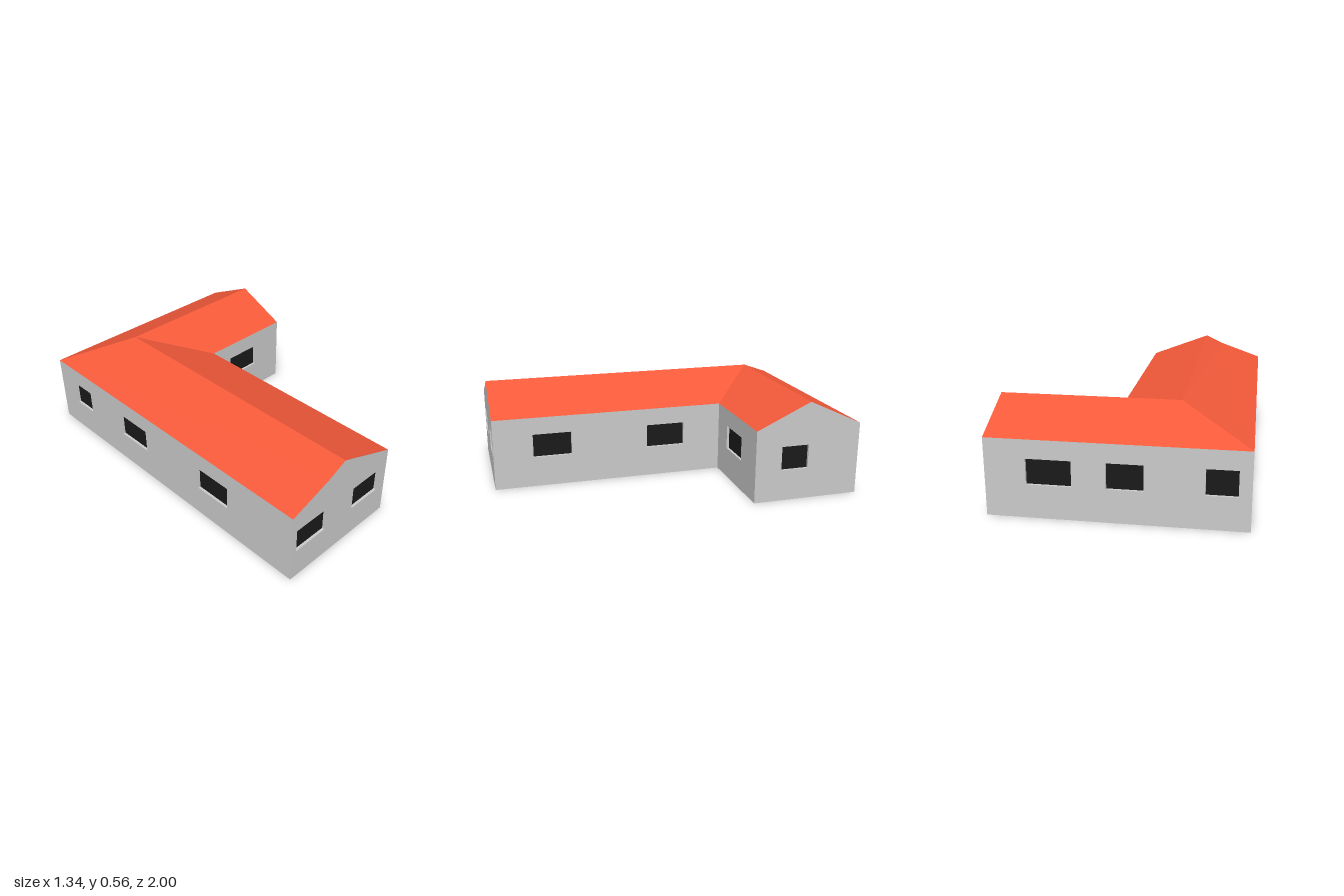
import * as THREE from 'three';
import { mergeGeometries } from 'three/addons/utils/BufferGeometryUtils.js';

// plan and height measurements of the L-shaped house
const W = 0.67, L = 1, INNER_X = 0.08, INNER_Z = -0.375;
const RIDGE_X = -0.295, RIDGE_Z = -0.688, EAVE = 0.42, RIDGE = 0.565;
const SILL = 0.18, HEAD = 0.318, RECESS = 0.015;

const mat = (color, side = THREE.FrontSide) =>
  new THREE.MeshStandardMaterial({ color, side, flatShading: true });
const wallMat = mat(0xcccccc, THREE.DoubleSide);
const glassMat = mat(0x1a1a1a);
const roofMat = mat(0xf55a3a, THREE.DoubleSide);

function mesh(name, geometry, material) {
  const m = new THREE.Mesh(geometry, material);
  m.name = name;
  return m;
}

// the four sides of a window recess, running back from the wall face
function revealGeometry(w, h) {
  const parts = [];
  for (const s of [-1, 1]) {
    parts.push(new THREE.PlaneGeometry(w, RECESS).rotateX(s * Math.PI / 2).translate(0, s * h / 2, -RECESS / 2));
    parts.push(new THREE.PlaneGeometry(RECESS, h).rotateY(-s * Math.PI / 2).translate(s * w / 2, 0, -RECESS / 2));
  }
  return mergeGeometries(parts);
}

// wall facing local +z from u0 to u1, with gable points on top and window spans [ua, ub]
function wall(name, u0, u1, windows, gable = []) {
  const group = new THREE.Group();
  group.name = name;
  const outline = [[u0, 0], [u1, 0], [u1, EAVE], ...gable, [u0, EAVE]];
  const shape = new THREE.Shape(outline.map(p => new THREE.Vector2(...p)));
  const h = HEAD - SILL, cy = (HEAD + SILL) / 2;
  for (const [a, b] of windows) {
    shape.holes.push(new THREE.Path([[a, SILL], [a, HEAD], [b, HEAD], [b, SILL]].map(p => new THREE.Vector2(...p))));
    const reveal = mesh('windowReveal', revealGeometry(b - a, h), wallMat);
    reveal.position.set((a + b) / 2, cy, 0);
    const pane = mesh('windowPane', new THREE.PlaneGeometry(b - a, h), glassMat);
    pane.position.set((a + b) / 2, cy, -RECESS);
    group.add(reveal, pane);
  }
  group.add(mesh('wallFace', new THREE.ShapeGeometry(shape), wallMat));
  return group;
}

// roof slopes as flat polygons, each fanned from its first corner
function roofGeometry() {
  const northWest = [-W, EAVE, -L], southWest = [-W, EAVE, L];
  const hip = [RIDGE_X, RIDGE, RIDGE_Z];
  const frontPeak = [RIDGE_X, RIDGE, L], endPeak = [W, RIDGE, RIDGE_Z];
  const valley = [INNER_X, EAVE, INNER_Z];
  const dip = [-0.41, 0.511, L];
  const slopes = [
    [northWest, hip, endPeak, [W, EAVE, -L]],
    [hip, valley, [W, EAVE, INNER_Z], endPeak],
    [hip, frontPeak, [INNER_X, EAVE, L], valley],
    [dip, frontPeak, hip, northWest, southWest],
  ];
  const pos = [];
  for (const s of slopes)
    for (let i = 1; i < s.length - 1; i++) pos.push(...s[0], ...s[i], ...s[i + 1]);
  const g = new THREE.BufferGeometry();
  g.setAttribute('position', new THREE.Float32BufferAttribute(pos, 3));
  g.computeVertexNormals();
  return g;
}

export function createModel() {
  const house = new THREE.Group();
  house.name = 'house';

  // place a wall at a given distance along its outward direction
  const place = (w, turn, x, z) => {
    w.rotation.y = turn * Math.PI / 2;
    w.position.set(x, 0, z);
    house.add(w);
  };

  // front-facing walls
  place(wall('frontGableWall', -W, INNER_X, [[-0.635, -0.42], [-0.2, 0.01]],
    [[RIDGE_X, RIDGE], [-0.41, 0.511]]), 0, 0, L);
  place(wall('sideWingFrontWall', INNER_X, W, [[0.225, 0.455]]), 0, 0, INNER_Z);

  // walls facing +x
  place(wall('mainWingInnerWall', -L, -INNER_Z, [[-0.77, -0.545], [-0.085, 0.145]]), 1, INNER_X, 0);
  place(wall('sideWingGableWall', -INNER_Z, L, [[0.53, 0.69]], [[-RIDGE_Z, RIDGE]]), 1, W, 0);

  // back wall and long outer wall
  place(wall('backWall', -W, W, [[-0.455, -0.222], [-0.047, 0.142], [0.445, 0.605]]), 2, 0, -L);
  place(wall('outerSideWall', -L, L, [[-0.84, -0.685], [-0.37, -0.14], [0.31, 0.54]]), -1, -W, 0);

  // L-shaped floor slab
  const plan = [[-W, -L], [W, -L], [W, INNER_Z], [INNER_X, INNER_Z], [INNER_X, L], [-W, L]];
  const floor = new THREE.ShapeGeometry(new THREE.Shape(plan.map(p => new THREE.Vector2(...p))));
  house.add(mesh('floor', floor.rotateX(Math.PI / 2), wallMat));

  house.add(mesh('roof', roofGeometry(), roofMat));
  return house;
}
